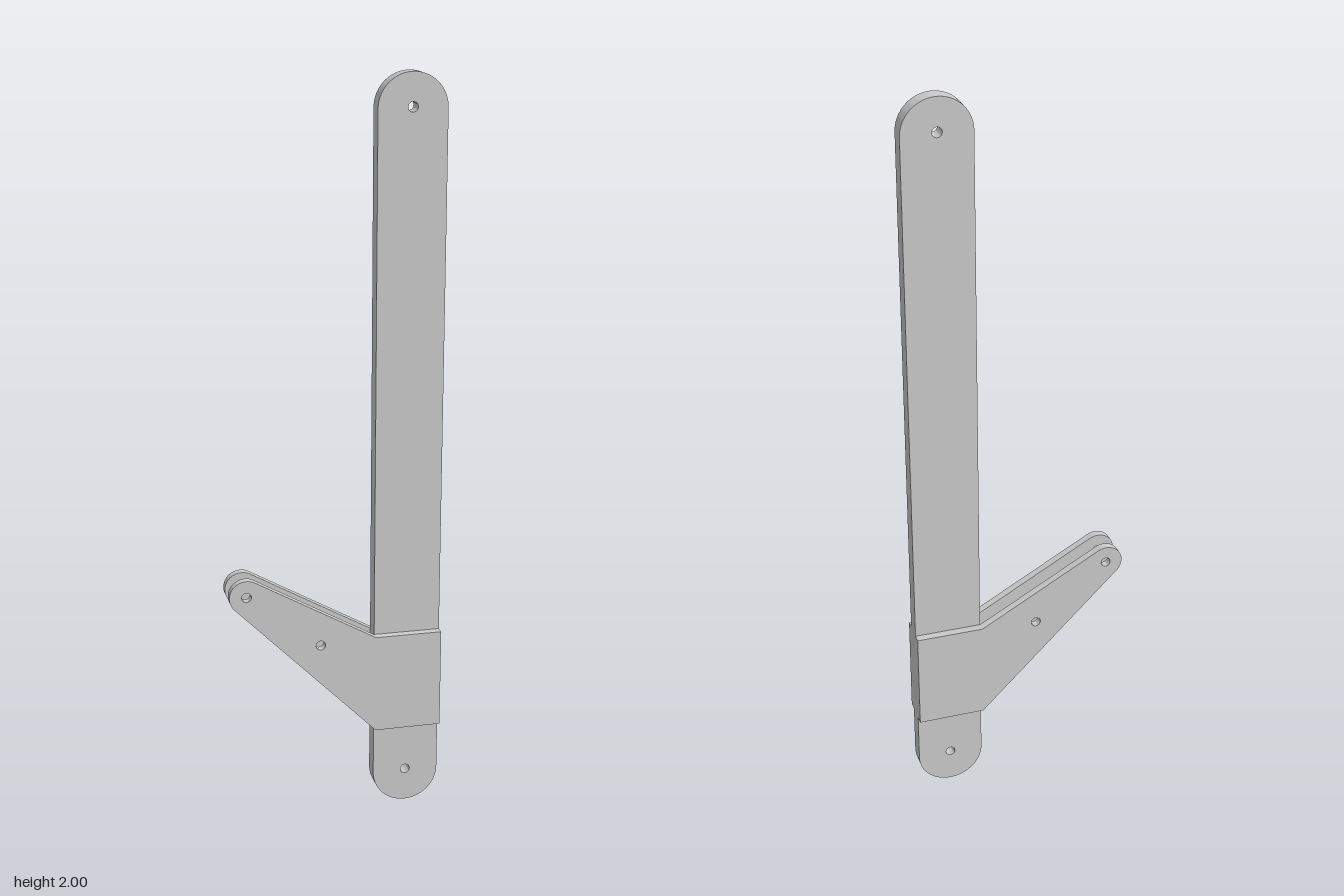
import * as THREE from 'three';
import { toCreasedNormals } from 'three/addons/utils/BufferGeometryUtils.js';

const HOLE_RADIUS = 0.013;
const BAR_HALF = 0.0225;   // half thickness of the bar
const PLATE_DEPTH = 0.023; // thickness of each bracket plate

// Extrudes an outline with round pin holes, centred on the given z
function plate(name, shape, holes, depth, z, material) {
  shape.holes = holes.map(([x, y]) => new THREE.Path().absarc(x, y, HOLE_RADIUS, 0, Math.PI * 2, true));
  const extruded = new THREE.ExtrudeGeometry(shape, { depth, bevelEnabled: false, curveSegments: 32 });
  const mesh = new THREE.Mesh(toCreasedNormals(extruded, Math.PI / 6), material);
  mesh.name = name;
  mesh.position.z = z - depth / 2;
  return mesh;
}

// Long bar with rounded ends
function barShape(x, r) {
  const s = new THREE.Shape();
  s.absarc(x, r, r, Math.PI, Math.PI * 2, false);
  s.absarc(x, 2 - r, r, 0, Math.PI, false);
  s.closePath();
  return s;
}

// Angle on a circle where the line from point p touches it
function tangentAngle(p, c, r, side) {
  const dx = p[0] - c[0], dy = p[1] - c[1];
  return Math.atan2(dy, dx) + side * Math.acos(r / Math.hypot(dx, dy));
}

// Bracket: straight part over the bar, arm tapering to a round tip
function bracketShape(tip, r) {
  const low = [0.108, 0.231], high = [0.108, 0.505];
  const s = new THREE.Shape();
  s.moveTo(...low);
  s.lineTo(0.29, low[1]);
  s.lineTo(0.29, high[1]);
  s.lineTo(...high);
  s.absarc(...tip, r, tangentAngle(high, tip, r, 1), tangentAngle(low, tip, r, -1), false);
  s.closePath();
  return s;
}

export function createModel() {
  const group = new THREE.Group();
  group.name = 'leverArm';
  const material = new THREE.MeshStandardMaterial({ color: 0xcccccc });

  const barX = 0.199, barR = 0.091;
  const barHoles = [[barX, 0.093], [barX, 1.913]];
  group.add(plate('bar', barShape(barX, barR), barHoles, BAR_HALF * 2, 0, material));

  // Matching bracket plates on the front and back of the bar
  const tip = [-0.245, 0.652];
  for (const [name, side] of [['frontBracket', 1], ['backBracket', -1]]) {
    const z = side * (BAR_HALF + PLATE_DEPTH / 2);
    group.add(plate(name, bracketShape(tip, 0.046), [tip, [-0.045, 0.497]], PLATE_DEPTH, z, material));
  }
  return group;
}
